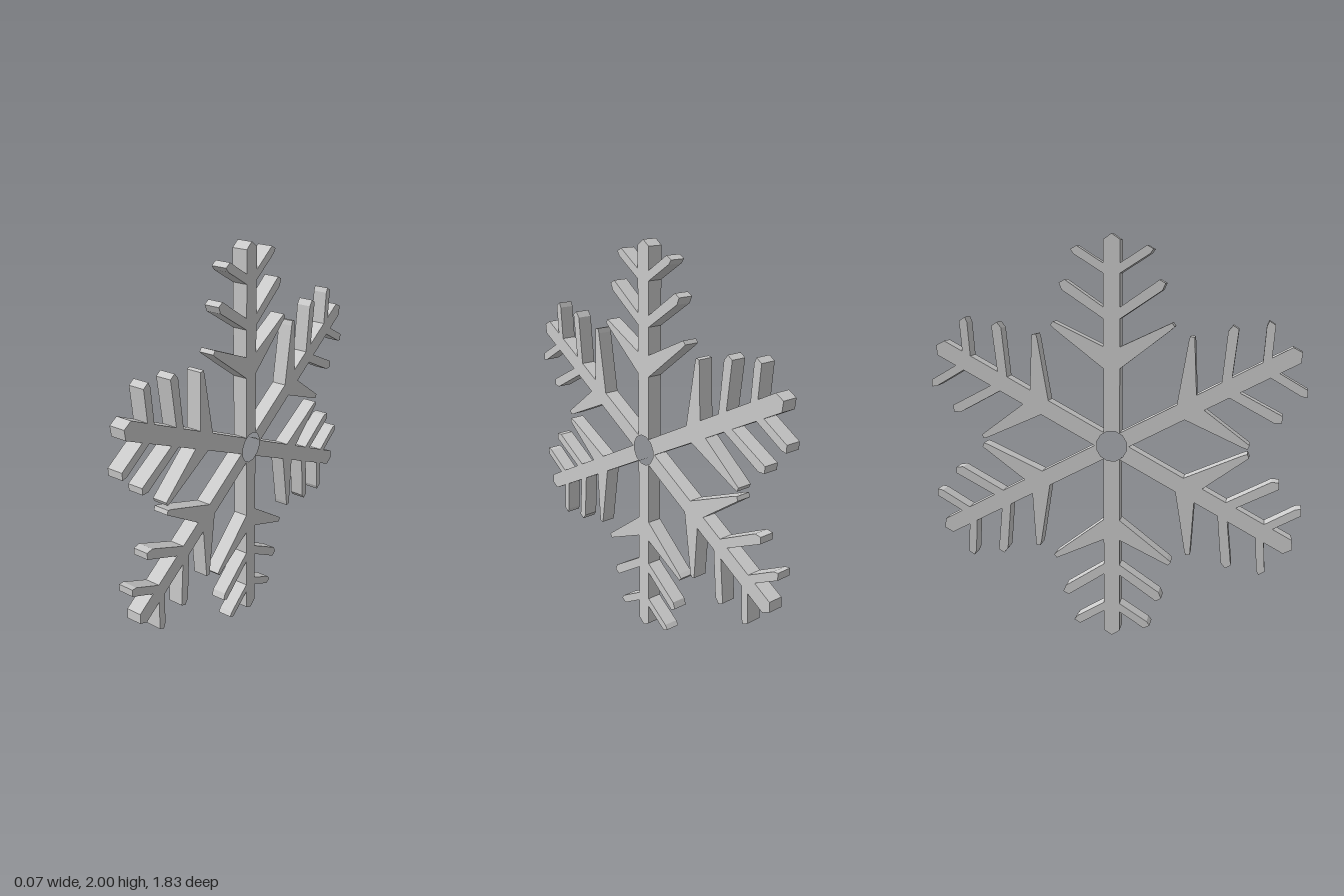
import * as THREE from 'three';

const ARM_HALF = 0.04;     // half width of an arm
const THICKNESS = 0.073;
const HOLE_RADIUS = 0.076;
const SIDE_ANGLE = THREE.MathUtils.degToRad(61.8); // side arms, measured from vertical

// One edge of an arm, from hub to tip: [distance off the axis, distance along it]
const EDGE = [
  // large tapering branch
  [ARM_HALF, 0.378], [0.28, 0.563], [0.298, 0.58], [0.285, 0.597], [ARM_HALF, 0.482],
  // medium branch
  [ARM_HALF, 0.613], [0.239, 0.745], [0.253, 0.777], [0.225, 0.793], [ARM_HALF, 0.667],
  // small branch
  [ARM_HALF, 0.822], [0.18, 0.909], [0.196, 0.93], [0.166, 0.947], [ARM_HALF, 0.868],
  // shoulder of the pointed end
  [ARM_HALF, 0.973],
];

// Turns an arm-local point clockwise from vertical
function turn([across, along], angle) {
  const c = Math.cos(angle), s = Math.sin(angle);
  return new THREE.Vector2(across * c + along * s, along * c - across * s);
}

export function createModel() {
  const angles = [0, SIDE_ANGLE, Math.PI - SIDE_ANGLE, Math.PI, Math.PI + SIDE_ANGLE, 2 * Math.PI - SIDE_ANGLE];
  const outline = [];

  // Six mirrored arms, joined at the inner corners between neighbours
  angles.forEach((angle, i) => {
    const next = i < 5 ? angles[i + 1] : 2 * Math.PI;
    const left = EDGE.map(([u, v]) => [-u, v]);
    const right = [...EDGE].reverse();
    for (const p of [...left, [0, 1], ...right]) outline.push(turn(p, angle));
    const half = (next - angle) / 2;
    outline.push(turn([0, ARM_HALF / Math.sin(half)], angle + half));
  });

  // Round opening in the hub
  const shape = new THREE.Shape(outline);
  const hole = [];
  for (let i = 0; i < 12; i++) hole.push(turn([0, HOLE_RADIUS], ((i + 0.5) / 12) * 2 * Math.PI));
  shape.holes.push(new THREE.Path(hole));

  // Flat plate standing upright in the y-z plane
  const geometry = new THREE.ExtrudeGeometry(shape, { depth: THICKNESS, bevelEnabled: false });
  geometry.translate(0, 0, -THICKNESS / 2);
  geometry.rotateY(Math.PI / 2);

  const snowflake = new THREE.Mesh(
    geometry,
    new THREE.MeshStandardMaterial({ color: 0xcccccc, flatShading: true })
  );
  snowflake.name = 'snowflake';
  snowflake.position.y = 1;

  const group = new THREE.Group();
  group.name = 'snowflakeOrnament';
  group.add(snowflake);
  return group;
}
